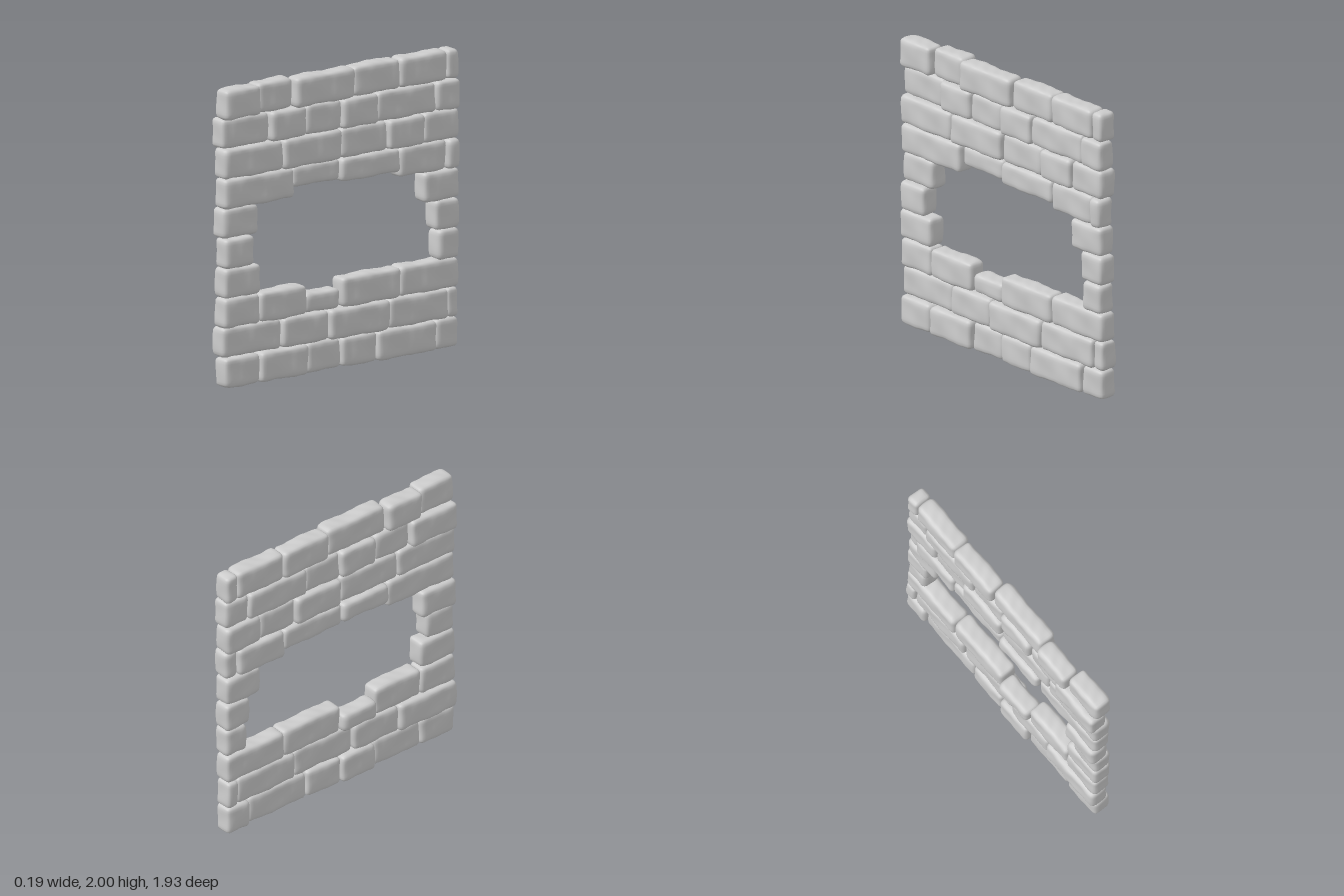
import * as THREE from 'three';
import { mergeVertices } from 'three/addons/utils/BufferGeometryUtils.js';

const material = new THREE.MeshStandardMaterial({ color: 0xcccccc });
const THICKNESS = 0.135, RADIUS = 0.032, STEP = 0.02;

// Courses from bottom to top; each stone is [z front, z back, x offset, bottom trim, top trim]
const courses = [
  [[0.96, 0.67, 0.007], [0.67, 0.28, 0.015], [0.28, 0, -0.012], [0, -0.285, 0.005], [-0.285, -0.77, 0.015], [-0.77, -0.96, -0.005]],
  [[0.96, 0.48, -0.02], [0.48, 0.105, 0], [0.105, -0.385, 0.02], [-0.385, -0.87, 0.005], [-0.87, -0.96, -0.01]],
  [[0.96, 0.67, 0], [0.67, 0.285, 0.005], [0.285, 0, -0.02, 0, 0.07], [0, -0.48, 0.008], [-0.48, -0.96, 0]],
  [[0.96, 0.67, 0.005], [-0.785, -0.96, 0.01]],
  [[0.96, 0.725, 0.012], [-0.765, -0.96, 0.005]],
  [[0.96, 0.67, -0.015], [-0.67, -0.96, 0.008]],
  [[0.96, 0.39, 0.005], [0.39, 0, -0.02, 0.06, 0], [0, -0.48, 0, 0.04, 0], [-0.48, -0.86, -0.005], [-0.86, -0.96, 0.02]],
  [[0.96, 0.48, 0.005], [0.48, 0, 0.01], [0, -0.38, -0.01], [-0.38, -0.675, 0.015], [-0.675, -0.96, 0]],
  [[0.96, 0.58, -0.025], [0.58, 0.29, 0.012], [0.29, 0, -0.005], [0, -0.29, 0.018], [-0.29, -0.77, 0], [-0.77, -0.96, 0.015]],
  [[0.96, 0.67, 0.015], [0.67, 0.385, -0.02], [0.385, -0.1, 0.02], [-0.1, -0.48, -0.003], [-0.48, -0.865, 0.005], [-0.865, -0.96, 0.003]],
];

// Box with rounded edges and a gently uneven, hand-cut surface
function stoneGeometry(w, h, d, seed) {
  const seg = (s) => Math.max(5, Math.round(s / STEP));
  let geo = new THREE.BoxGeometry(w, h, d, seg(w), seg(h), seg(d));
  geo.deleteAttribute('uv');
  geo.deleteAttribute('normal');
  geo = mergeVertices(geo);
  const inner = new THREE.Vector3(w, h, d).multiplyScalar(0.5).subScalar(RADIUS);
  const low = inner.clone().negate();
  const pos = geo.attributes.position;
  const p = new THREE.Vector3(), core = new THREE.Vector3();
  for (let i = 0; i < pos.count; i++) {
    p.fromBufferAttribute(pos, i);
    core.copy(p).clamp(low, inner);
    const bump = 0.0025 * Math.sin(23 * p.z + 11 * p.y + seed * 2.1)
      + 0.002 * Math.sin(31 * p.y - 17 * p.z + 20 * p.x + seed * 3.7)
      + 0.0012 * Math.sin(64 * p.z + 47 * p.x + seed * 5.3);
    p.sub(core).normalize().multiplyScalar(RADIUS + bump).add(core);
    pos.setXYZ(i, p.x, p.y, p.z);
  }
  geo.computeVertexNormals();
  return geo;
}

export function createModel() {
  const wall = new THREE.Group();
  wall.name = 'stoneWall';
  let seed = 1;
  courses.forEach((stones, row) => {
    const course = new THREE.Group();
    course.name = `course${row + 1}`;
    const y0 = 0.012 + row * 0.1985, y1 = y0 + 0.1985;
    for (const [front, back, x, trimBottom = 0, trimTop = 0] of stones) {
      const bottom = y0 + trimBottom, top = y1 - trimTop;
      const stone = new THREE.Mesh(
        stoneGeometry(THICKNESS, top - bottom, front - back, seed++), material);
      stone.name = 'stone';
      stone.position.set(x, (top + bottom) / 2, (front + back) / 2);
      course.add(stone);
    }
    wall.add(course);
  });
  return wall;
}
